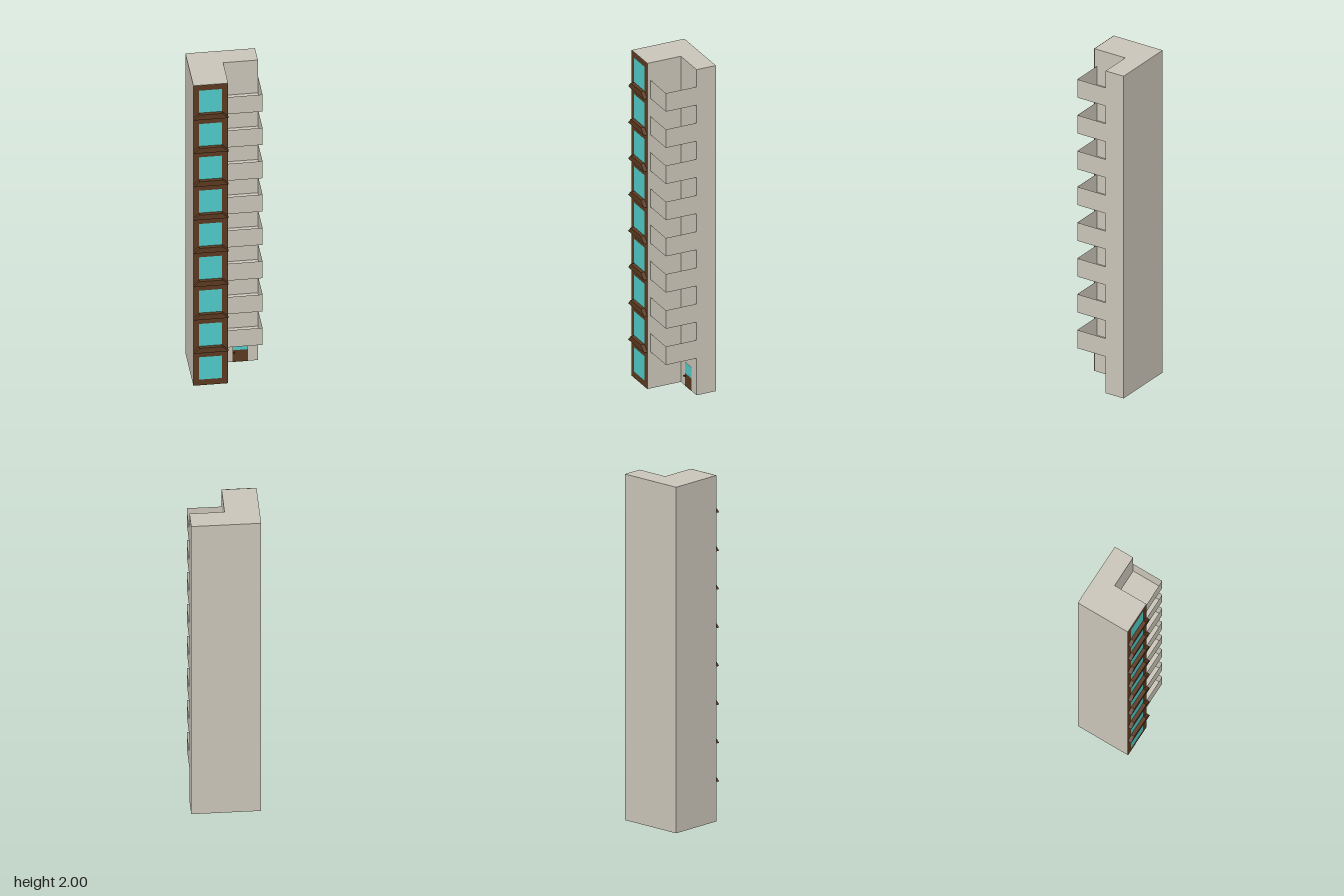
import * as THREE from 'three';

const FLOORS = 9, STOREY = 2 / FLOORS;
const X = 0.195, BACK = -0.175, WALL = -0.055, FRONT = 0.152, BALCONY = 0.135;

const mat = (color) => new THREE.MeshStandardMaterial({ color, side: THREE.DoubleSide });

function rectPath(Type, x0, y0, x1, y1) {
  const p = new Type();
  p.moveTo(x0, y0).lineTo(x1, y0).lineTo(x1, y1).lineTo(x0, y1).closePath();
  return p;
}

export function createModel() {
  const model = new THREE.Group();
  const wall = mat(0xcac5b9), wood = mat(0x5c3a20), glass = mat(0x50cbca);

  const add = (parent, name, geometry, material, x = 0, y = 0, z = 0) => {
    const mesh = new THREE.Mesh(geometry, material);
    mesh.name = name;
    mesh.position.set(x, y, z);
    parent.add(mesh);
    return mesh;
  };

  // L-shaped tower
  const plan = new THREE.Shape([
    [-X, -FRONT], [0, -FRONT], [0, -WALL], [X, -WALL], [X, -BACK], [-X, -BACK],
  ].map(([x, y]) => new THREE.Vector2(x, y)));
  const tower = new THREE.ExtrudeGeometry(plan, { depth: 2, bevelEnabled: false });
  add(model, 'tower', tower.rotateX(-Math.PI / 2), wall);

  // Window frame of one storey, its pane and the sill with slanted ends
  const wx0 = -0.163, wx1 = -0.036, wy0 = 0.038, wy1 = 0.187, sillH = 0.033;
  const frameShape = rectPath(THREE.Shape, -X, 0, 0, STOREY);
  frameShape.holes.push(rectPath(THREE.Path, wx0, wy0, wx1, wy1));
  const frameGeo = new THREE.ShapeGeometry(frameShape);
  const paneGeo = new THREE.ShapeGeometry(rectPath(THREE.Shape, wx0, wy0, wx1, wy1));
  const sillShape = new THREE.Shape();
  sillShape.moveTo(-X, 0).lineTo(0, 0).lineTo(wx1, sillH).lineTo(wx0, sillH).closePath();
  const sillGeo = new THREE.ExtrudeGeometry(sillShape, { depth: 0.175 - FRONT, bevelEnabled: false });

  // Open balcony made of thin sheets
  const depth = BALCONY - WALL, parapet = 0.113;
  const floorGeo = new THREE.PlaneGeometry(X, depth).rotateX(-Math.PI / 2);
  const frontGeo = new THREE.PlaneGeometry(X, parapet);
  const sideGeo = new THREE.PlaneGeometry(depth, parapet).rotateY(Math.PI / 2);

  for (let i = 0; i < FLOORS; i++) {
    const y = i * STOREY;
    const storey = new THREE.Group();
    storey.name = `storey${i + 1}`;
    storey.position.y = y;
    model.add(storey);
    add(storey, 'windowFrame', frameGeo, wood, 0, 0, FRONT + 0.0015);
    add(storey, 'windowPane', paneGeo, glass, 0, 0, FRONT + 0.0015);
    if (i === 0) continue;

    add(storey, 'windowSill', sillGeo, wood, 0, 0.005, FRONT);
    const balcony = new THREE.Group();
    balcony.name = 'balcony';
    balcony.position.y = 0.004;
    storey.add(balcony);
    add(balcony, 'balconyFloor', floorGeo, wall, X / 2, 0, (BALCONY + WALL) / 2);
    add(balcony, 'balconyFront', frontGeo, wall, X / 2, parapet / 2, BALCONY);
    add(balcony, 'balconySide', sideGeo, wall, X, parapet / 2, (BALCONY + WALL) / 2);
  }

  // Entrance door with upper glass and a handle
  const door = new THREE.Group();
  door.name = 'door';
  door.position.z = WALL + 0.0015;
  model.add(door);
  const leaf = rectPath(THREE.Shape, 0.053, 0, 0.138, 0.148);
  leaf.holes.push(rectPath(THREE.Path, 0.056, 0.078, 0.135, 0.145));
  add(door, 'doorLeaf', new THREE.ShapeGeometry(leaf), wood);
  add(door, 'doorGlass', new THREE.ShapeGeometry(rectPath(THREE.Shape, 0.056, 0.078, 0.135, 0.145)), glass);
  add(door, 'doorHandle', new THREE.BoxGeometry(0.008, 0.006, 0.012), wood, 0.06, 0.064, 0.006);

  return model;
}
